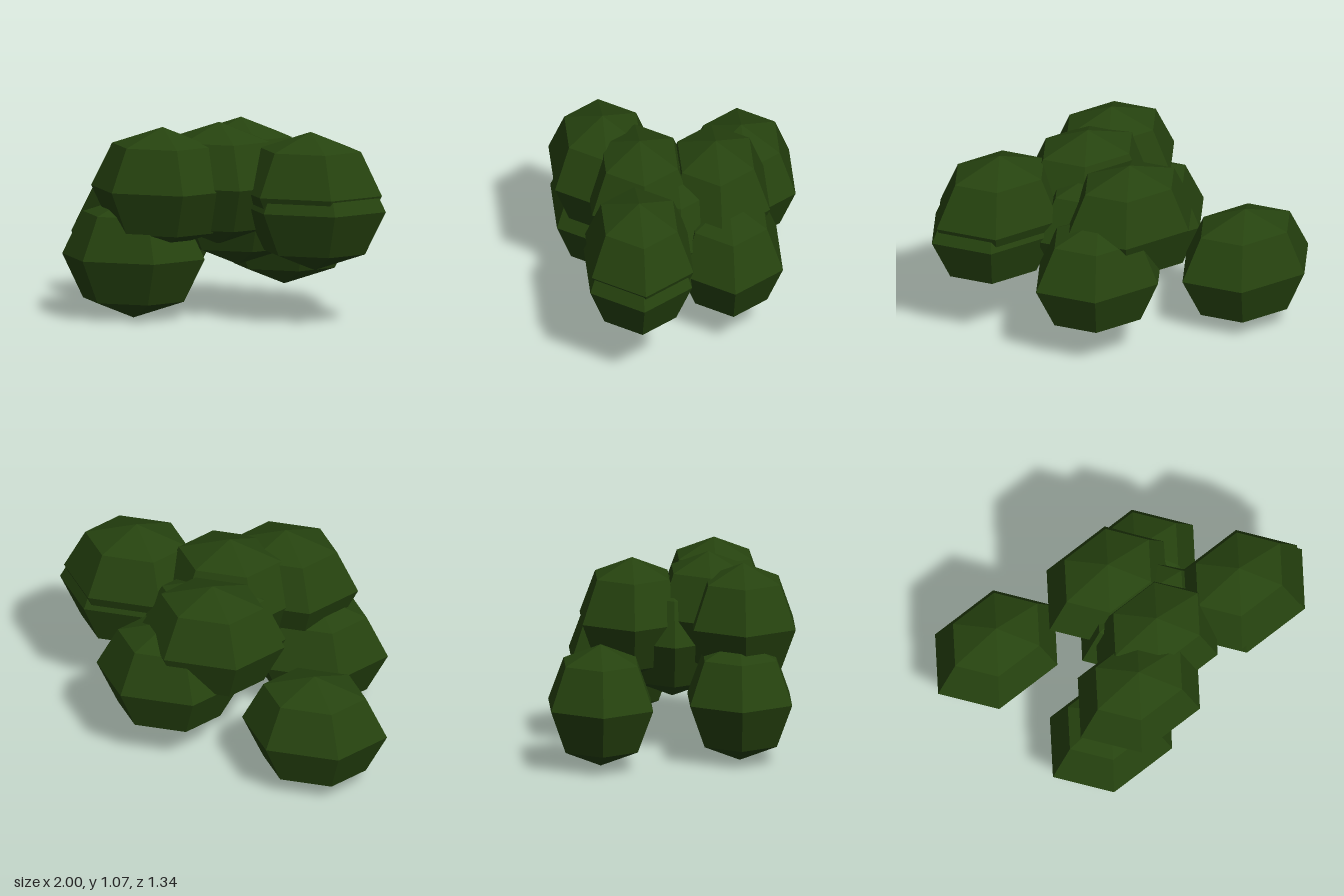
import * as THREE from 'three';

export function createModel() {
  const group = new THREE.Group();
  group.name = 'bush';

  const leafGreen = new THREE.MeshStandardMaterial({ color: 0x26430f, flatShading: true });
  leafGreen.name = 'leaf green';

  // One faceted leaf clump, shared by the whole bush
  const clump = new THREE.SphereGeometry(1, 6, 4);
  clump.scale(0.405, 0.335, 0.32);

  // Clump centres
  const centres = {
    backLeftLow: [-0.595, 0.35, -0.395],
    frontLow: [-0.41, 0.34, 0.367],
    frontHigh: [-0.237, 0.725, 0.393],
    middleTop: [0.03, 0.74, 0.215],
    sideHigh: [0.565, 0.715, 0.265],
    sideLow: [0.59, 0.63, 0.275],
    backTop: [0.025, 0.71, -0.2],
    backLow: [0.255, 0.47, -0.25],
    core: [0.075, 0.605, 0.02],
  };

  for (const [name, position] of Object.entries(centres)) {
    const mesh = new THREE.Mesh(clump, leafGreen);
    mesh.name = `${name}LeafClump`;
    mesh.position.set(...position);
    group.add(mesh);
  }
  return group;
}
